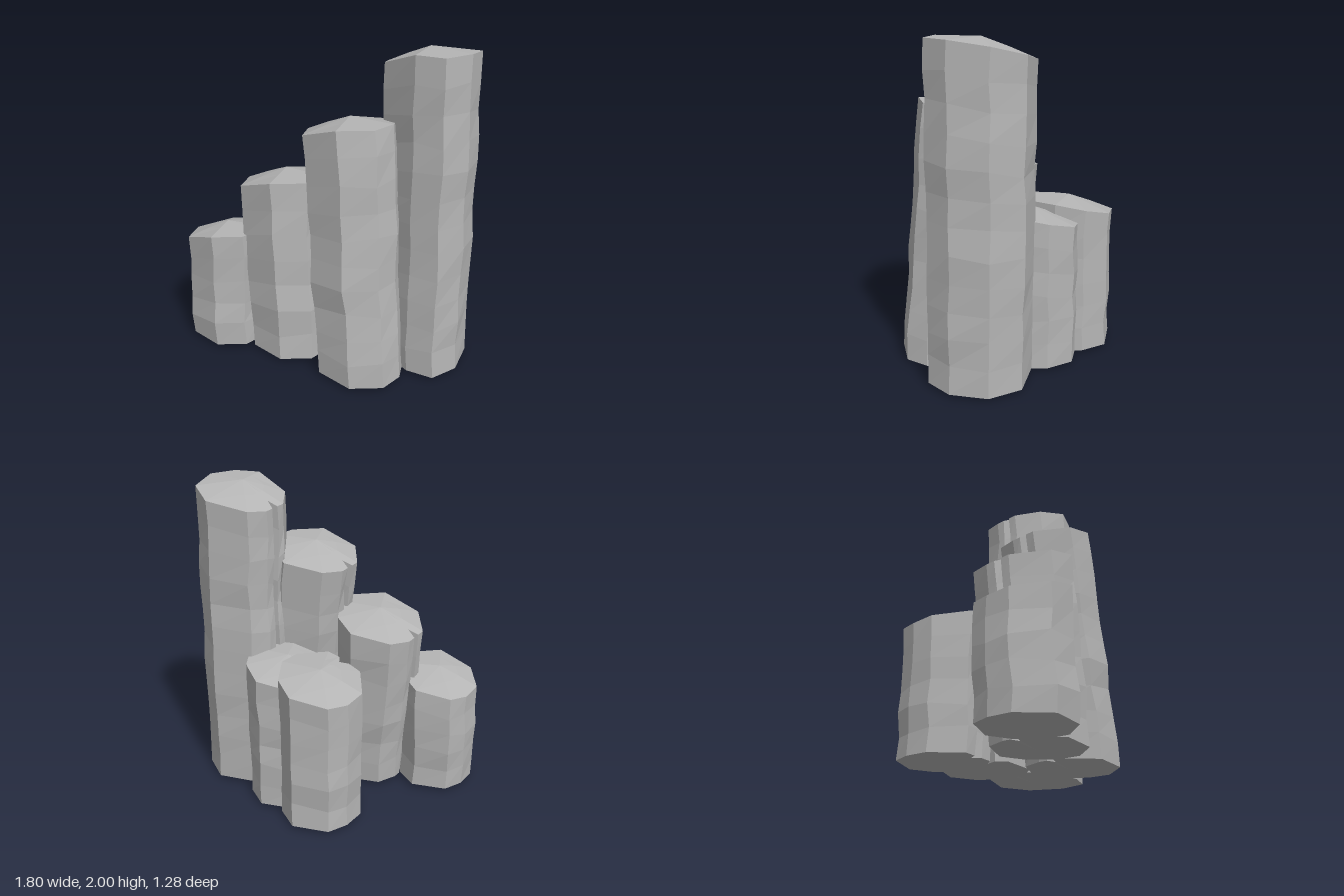
import * as THREE from 'three';

const { lerp } = THREE.MathUtils;

// Outlines as [x, z] round the column's axis, clockwise from above
const OUTLINE = [[-.27, -.04], [-.21, -.18], [-.11, -.28], [.13, -.27], [.24, -.13], [.27, .06], [.21, .2], [.02, .28], [-.21, .19]];
const TALL_OUTLINE = [[-.27, -.06], [-.21, -.2], [-.12, -.29], [.14, -.27], [.27, -.1], [.26, .13], [.15, .28], [-.02, .26], [-.23, .12]];

// center: axis at the top; lean: offset of the foot; crack: the side that is split
const COLUMNS = [
  { name: 'shortestColumn', center: [-.65, .24], size: .93, height: .8, lean: [0, .01], flare: 1, crack: 4 },
  { name: 'lowColumn', center: [-.26, .17], size: 1.04, height: 1.2, lean: [.06, .07], flare: .93, crack: 0 },
  { name: 'middleColumn', center: [.18, .24], size: 1.03, height: 1.6, lean: [.13, .12], flare: .97, crack: 0 },
  { name: 'tallestColumn', center: [.59, .06], size: 1, height: 2, lean: [.03, .02], flare: 1, crack: 0, outline: TALL_OUTLINE },
  { name: 'backColumn', center: [0, -.37], size: .96, height: .98, lean: [0, 0], flare: 1, crack: 7 },
  { name: 'innerBackColumn', center: [.26, -.18], size: .97, height: .97, lean: [0, 0], flare: 1, crack: 8 },
];

function seeded(seed) {
  return () => {
    seed = (seed * 16807) % 2147483647;
    return seed / 2147483647 - 0.5;
  };
}

// Split one side of the outline with a narrow wedge pointing inwards
function addCrack(outline, side) {
  const a = outline[side], b = outline[(side + 1) % outline.length];
  const along = (t, pull) => a.map((v, k) => lerp(v, b[k], t) * pull);
  const points = outline.slice();
  points.splice(side + 1, 0, along(0.35, 1), along(0.5, 0.78), along(0.65, 1));
  return points;
}

function columnGeometry({ center, size, height, lean, flare, crack, outline = OUTLINE }, seed) {
  const random = seeded(seed);
  const corners = addCrack(outline, crack);
  const count = corners.length;
  const [cx, cz] = center;

  // The cap falls away towards -x and the back
  const capPoint = (x, z) => [cx + x,
    height - 0.42 * Math.max(0, -x - 0.02) - 0.3 * Math.max(0, -z), cz + z];

  // Rings from foot to cap, weathered in between
  const levels = Math.max(5, Math.round(height * 6));
  const rings = [];
  for (let l = 0; l <= levels; l++) {
    const t = l / levels;
    const rough = l === 0 || l === levels ? 0 : 0.016;
    const sway = [random() * rough, random() * rough];
    const scale = size * lerp(flare, 1, t);
    rings.push(corners.map(([x, z]) => [
      cx + x * scale + lean[0] * (1 - t) + sway[0] + random() * rough * 0.6,
      lerp(0.02, capPoint(x * size, z * size)[1], t) + random() * rough * 2,
      cz + z * scale + lean[1] * (1 - t) + sway[1] + random() * rough * 0.6,
    ]));
  }

  // An inner ring and a peak give the cap its shallow facets
  const inner = corners.map(([x, z]) => capPoint(x * size * 0.5, z * size * 0.5));
  const peak = [cx, height, cz];
  const foot = [cx + lean[0], 0, cz + lean[1]];

  const positions = [];
  const tri = (...points) => points.forEach((p) => positions.push(...p));
  const quad = (a, b, c, d) => { tri(a, b, c); tri(a, c, d); };
  for (let i = 0; i < count; i++) {
    const j = (i + 1) % count;
    for (let l = 0; l < levels; l++) {
      quad(rings[l][j], rings[l][i], rings[l + 1][i], rings[l + 1][j]);
    }
    quad(rings[levels][j], rings[levels][i], inner[i], inner[j]);
    tri(peak, inner[j], inner[i]);
    tri(foot, rings[0][i], rings[0][j]);
  }

  const geometry = new THREE.BufferGeometry();
  geometry.setAttribute('position', new THREE.Float32BufferAttribute(positions, 3));
  geometry.computeVertexNormals();
  return geometry;
}

export function createModel() {
  const group = new THREE.Group();
  group.name = 'rockColumns';
  const stone = new THREE.MeshStandardMaterial({ color: 0xb4b4b4 });
  stone.name = 'grey stone';
  COLUMNS.forEach((column, i) => {
    const mesh = new THREE.Mesh(columnGeometry(column, 101 + i * 37), stone);
    mesh.name = column.name;
    group.add(mesh);
  });
  return group;
}
